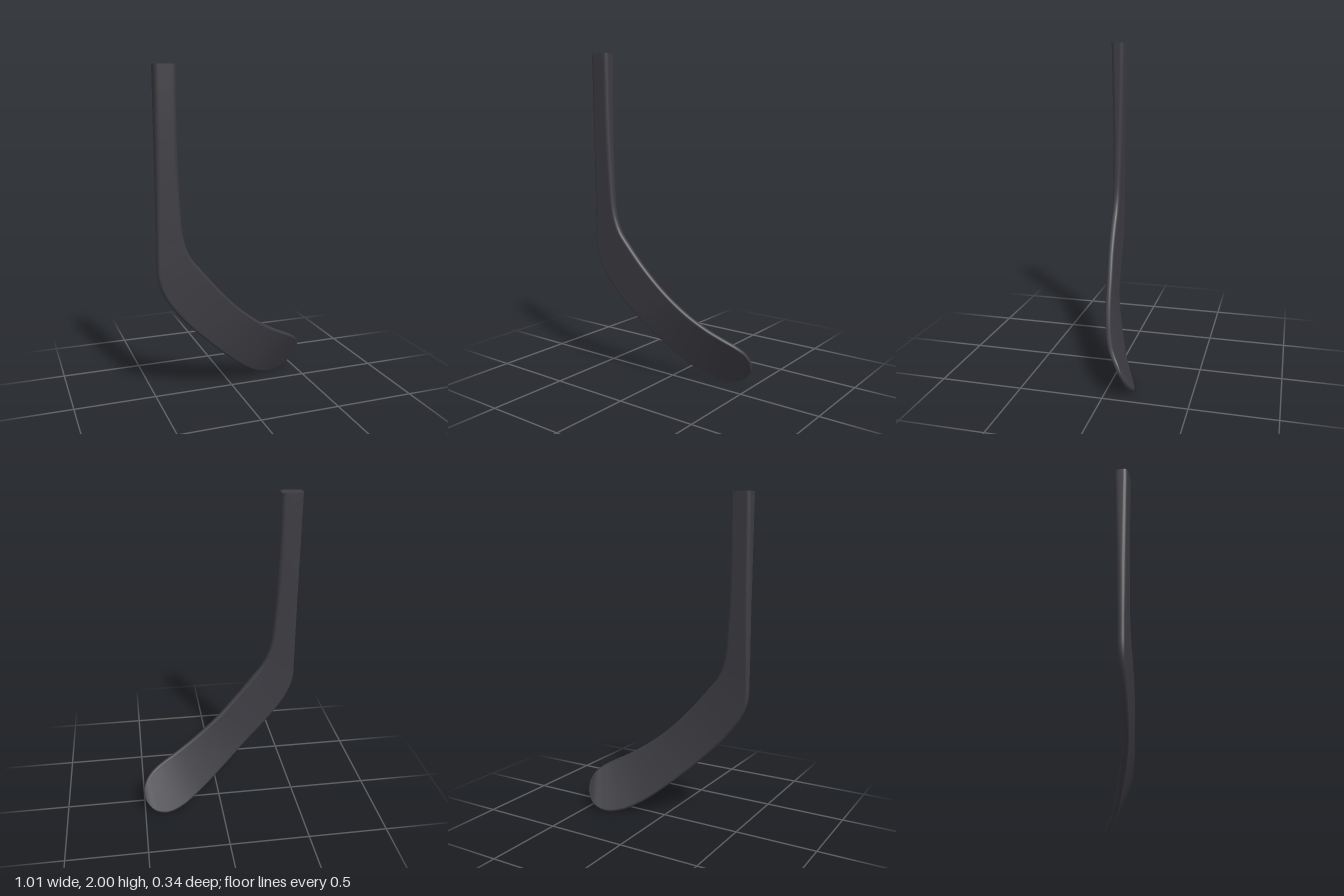
import * as THREE from 'three';

// Matching stations along the heel/lower edge and the inner/upper edge: [x, y, z]
const LOWER = [
  [-0.505, 2, 0.131], [-0.505, 1.6, 0.131], [-0.505, 1.2, 0.131], [-0.505, 0.95, 0.131],
  [-0.5, 0.78, 0.131], [-0.46, 0.67, 0.128], [-0.36, 0.53, 0.118], [-0.2, 0.365, 0.088],
  [-0.02, 0.2, 0.02], [0.14, 0.075, -0.05], [0.26, 0.015, -0.113], [0.36, 0.003, -0.152],
  [0.44, 0.037, -0.162], [0.49, 0.1, -0.137], [0.504, 0.15, -0.112],
];
const UPPER = [
  [-0.376, 2, 0.131], [-0.376, 1.6, 0.131], [-0.365, 1.25, 0.132], [-0.345, 1.02, 0.133],
  [-0.305, 0.91, 0.131], [-0.24, 0.825, 0.126], [-0.13, 0.695, 0.112], [0, 0.56, 0.087],
  [0.14, 0.445, 0.06], [0.27, 0.36, 0.026], [0.38, 0.301, -0.01], [0.44, 0.265, -0.04],
  [0.48, 0.225, -0.072], [0.5, 0.18, -0.097], [0.504, 0.15, -0.112],
];
const THICK = [0.085, 0.071, 0.056, 0.046, 0.044, 0.043, 0.04, 0.037, 0.035, 0.033, 0.031, 0.029, 0.026, 0.02, 0.01];

const curve = (pts) => new THREE.CatmullRomCurve3(pts.map((p) => new THREE.Vector3(...p)));

// Rounded rectangle as [across, through] offsets, counter-clockwise
function section(width, thick) {
  const r = Math.min(0.42 * thick, 0.026, width * 0.5);
  const steps = 5, ring = [];
  for (let q = 0; q < 4; q++) {
    const sx = q === 0 || q === 3 ? 1 : -1, sy = q < 2 ? 1 : -1;
    for (let k = 0; k <= steps; k++) {
      const a = (q + k / steps) * Math.PI / 2;
      ring.push([sx * (width / 2 - r) + r * Math.cos(a), sy * (thick / 2 - r) + r * Math.sin(a)]);
    }
  }
  return ring;
}

// Loft the sections from the top of the shaft to the toe
function buildLoft() {
  const lower = curve(LOWER), upper = curve(UPPER);
  const last = THICK.length - 1, rows = last * 8;
  const mid = (u) => lower.getPoint(u).add(upper.getPoint(u)).multiplyScalar(0.5);
  const pos = [], idx = [];
  const across = new THREE.Vector3(), normal = new THREE.Vector3();
  let n = 0;
  for (let i = 0; i <= rows; i++) {
    const u = i / rows, f = u * last, s = Math.min(Math.floor(f), last - 1);
    const thick = THREE.MathUtils.lerp(THICK[s], THICK[s + 1], f - s);
    const span = upper.getPoint(u).sub(lower.getPoint(u));
    const width = span.length();
    if (i < rows) {
      across.copy(span).normalize();
      const tangent = mid(Math.min(1, u + 0.004)).sub(mid(Math.max(0, u - 0.004)));
      normal.crossVectors(tangent, across).normalize();
    }
    const ring = section(width, thick), c = mid(u);
    n = ring.length;
    for (const [a, b] of ring) {
      const p = c.clone().addScaledVector(across, a).addScaledVector(normal, b);
      pos.push(p.x, p.y, p.z);
    }
  }
  for (let i = 0; i < rows; i++) {
    for (let j = 0; j < n; j++) {
      const a = i * n + j, b = i * n + (j + 1) % n;
      idx.push(a, b, a + n, b, b + n, a + n);
    }
  }
  const geo = new THREE.BufferGeometry();
  geo.setAttribute('position', new THREE.Float32BufferAttribute(pos, 3));
  geo.setIndex(idx);
  geo.computeVertexNormals();
  return geo;
}

export function createModel() {
  const group = new THREE.Group();
  group.name = 'hockeyStickBlade';
  const material = new THREE.MeshStandardMaterial({ color: 0x3c3c42 });

  // Shaft flowing into the curved blade
  const body = new THREE.Mesh(buildLoft(), material);
  body.name = 'shaftAndBlade';
  group.add(body);

  // Flat end of the shaft
  const outline = section(0.129, 0.085).map(([x, y]) => new THREE.Vector2(x, y));
  const cap = new THREE.Mesh(new THREE.ShapeGeometry(new THREE.Shape(outline)), material);
  cap.name = 'shaftEnd';
  cap.rotation.x = -Math.PI / 2;
  cap.position.set(-0.4405, 2, 0.131);
  group.add(cap);

  return group;
}
